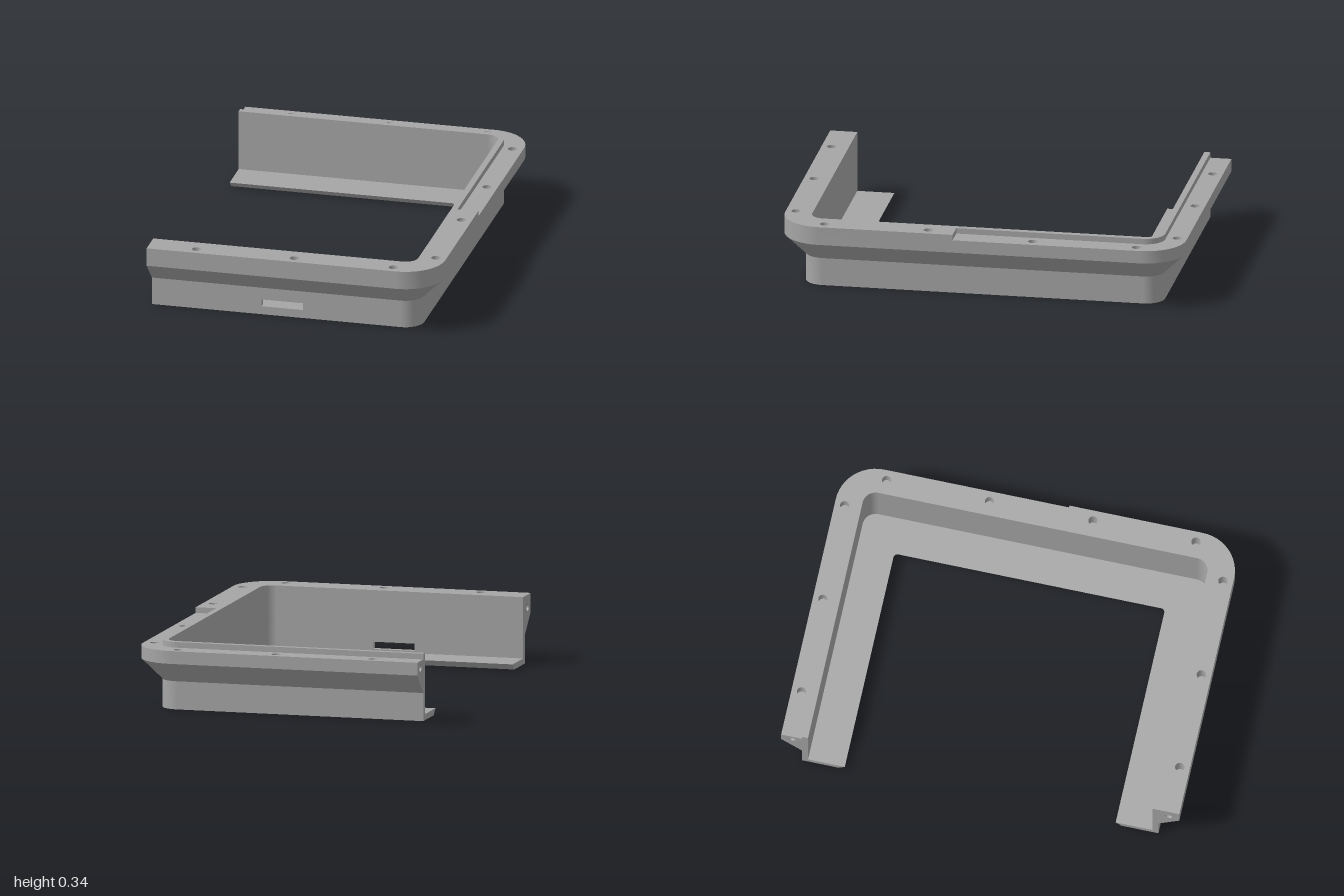
import * as THREE from 'three';

const X = 0.73, Z = 1, ARC = 12, STEP_Z = 0.13;
const TOP = 0.335, LOW = 0.307;              // rim height, lowered ledge height
const SPLIT = ARC + 2, LAST = 2 * ARC + 4;   // path stations: ledge start, rear end
const CORNER = 1;                            // station where the front corner begins

// U-shaped path, offset inward by d, as [x, z] pairs from front end to rear end
function path(d) {
  const r = Math.max(0.2 - d, 0.02), cx = X - d - r, cz = Z - d - r;
  const arc = [];
  for (let i = 0; i <= ARC; i++) {
    const a = (i / ARC) * Math.PI / 2;
    arc.push([cx + r * Math.sin(a), cz + r * Math.cos(a)]);
  }
  const rear = arc.map(([x, z]) => [x, -z]).reverse();
  return [[-X, Z - d], ...arc, [X - d, STEP_Z], ...rear, [-X, d - Z]];
}

// Surface swept along the path between two profile points [d, y]
function strip(a, b, from = 0, to = LAST) {
  const pa = path(a[0]), pb = path(b[0]), pos = [], idx = [];
  for (let i = from; i <= to; i++) {
    pos.push(pa[i][0], a[1], pa[i][1], pb[i][0], b[1], pb[i][1]);
    if (i < to) {
      const k = (i - from) * 2;
      idx.push(k, k + 2, k + 1, k + 1, k + 2, k + 3);
    }
  }
  const g = new THREE.BufferGeometry();
  g.setAttribute('position', new THREE.Float32BufferAttribute(pos, 3));
  g.setIndex(idx);
  g.computeVertexNormals();
  return g;
}

function circle(x, y, r) {
  return new THREE.Path().absarc(x, y, r, 0, Math.PI * 2, true);
}

// Horizontal face from [x, z] points with round holes
function deck(points, y, holes, r) {
  const s = new THREE.Shape(points.map(([x, z]) => new THREE.Vector2(x, -z)));
  holes.forEach(([x, z]) => s.holes.push(circle(x, -z, r)));
  return new THREE.ShapeGeometry(s, 12).rotateX(-Math.PI / 2).translate(0, y, 0);
}

export function createModel() {
  const root = new THREE.Group();
  root.name = 'cornerFrame';
  const grey = new THREE.MeshStandardMaterial({ color: 0xa6a6a6, side: THREE.DoubleSide });
  grey.name = 'plain grey';
  const add = (name, geometry) => {
    const m = new THREE.Mesh(geometry, grey);
    m.name = name;
    root.add(m);
    return m;
  };

  // Rim sides and the flared underside
  add('rimSideFront', strip([0, 0.243], [0, TOP], 0, SPLIT));
  add('rimSideRear', strip([0, 0.243], [0, LOW], SPLIT, LAST));
  add('ledgeWall', strip([0.105, LOW], [0.105, TOP], SPLIT, LAST));
  add('rimFlare', strip([0.105, 0.14], [0, 0.243]));

  // Wall; the front arm's lower part is the slotted plate below
  add('innerWallUpper', strip([0.135, TOP], [0.135, 0.14]));
  add('innerWallLower', strip([0.135, 0.14], [0.135, 0.03], CORNER));
  add('outerWall', strip([0.105, 0], [0.105, 0.14], CORNER));

  // Inward base flange with a bevelled edge
  add('flangeTop', strip([0.135, 0.03], [0.32, 0.03]));
  add('flangeBevel', strip([0.32, 0.03], [0.29, 0]));
  add('flangeBottom', strip([0.29, 0], [0.105, 0]));

  // Front wall plate with a through slot
  const rect = (T, x0, x1, y0, y1) => new T([[x0, y0], [x1, y0], [x1, y1], [x0, y1]]
    .map(([x, y]) => new THREE.Vector2(x, y)));
  const plate = rect(THREE.Shape, -X, 0.53, 0, 0.14);
  plate.holes.push(rect(THREE.Path, -0.175, 0.035, 0.042, 0.078));
  add('slottedWall', new THREE.ExtrudeGeometry(plate, { depth: 0.03, bevelEnabled: false })
    .translate(0, 0, 0.865));

  // Rim top, high in front and as a narrow lip behind, with a lower ledge
  const holesRear = [[-0.49, -0.95], [0.005, -0.95], [0.505, -0.95], [0.677, -0.777], [0.677, -0.26]];
  const holesFront = holesRear.map(([x, z]) => [x, -z]);
  const outer = path(0), lip = path(0.105), inner = path(0.135);
  add('rimTop', deck([...outer.slice(0, SPLIT + 1), ...lip.slice(SPLIT), ...inner.reverse()],
    TOP, holesFront, 0.023));
  add('rimLedge', deck([...outer.slice(SPLIT), ...lip.slice(SPLIT).reverse()],
    LOW, holesRear, 0.023));
  add('ledgeStep', new THREE.PlaneGeometry(0.105, TOP - LOW).rotateY(Math.PI)
    .translate(X - 0.0525, (TOP + LOW) / 2, STEP_Z));

  // Blind screw holes in the rim
  const bore = (name, r, depth) => {
    const g = new THREE.Group();
    g.name = name;
    const wall = new THREE.Mesh(new THREE.CylinderGeometry(r, r, depth, 24, 1, true), grey);
    const floor = new THREE.Mesh(new THREE.CircleGeometry(r, 24).rotateX(-Math.PI / 2), grey);
    wall.name = 'boreWall';
    floor.name = 'boreFloor';
    wall.position.y = -depth / 2;
    floor.position.y = -depth;
    g.add(wall, floor);
    root.add(g);
    return g;
  };
  holesFront.forEach(([x, z]) => bore('screwHole', 0.023, 0.085).position.set(x, TOP, z));
  holesRear.forEach(([x, z]) => bore('screwHole', 0.023, 0.057).position.set(x, LOW, z));

  // End faces, each with a pin hole
  const section = [[0.135, TOP], [0.135, 0.03], [0.32, 0.03], [0.29, 0],
    [0.105, 0], [0.105, 0.14], [0, 0.243]];
  for (const side of [1, -1]) {
    const head = side > 0 ? [[0, TOP]] : [[0, LOW], [0.105, LOW], [0.105, TOP]];
    const s = new THREE.Shape([...head, ...section]
      .map(([d, y]) => new THREE.Vector2(side * (Z - d), y)));
    s.holes.push(circle(side * 0.946, 0.272, 0.018));
    add(side > 0 ? 'frontEnd' : 'rearEnd',
      new THREE.ShapeGeometry(s, 12).rotateY(-Math.PI / 2).translate(-X, 0, 0));
    const pin = bore('pinHole', 0.018, 0.1);
    pin.rotation.z = Math.PI / 2;
    pin.position.set(-X, 0.272, side * 0.946);
  }
  return root;
}
